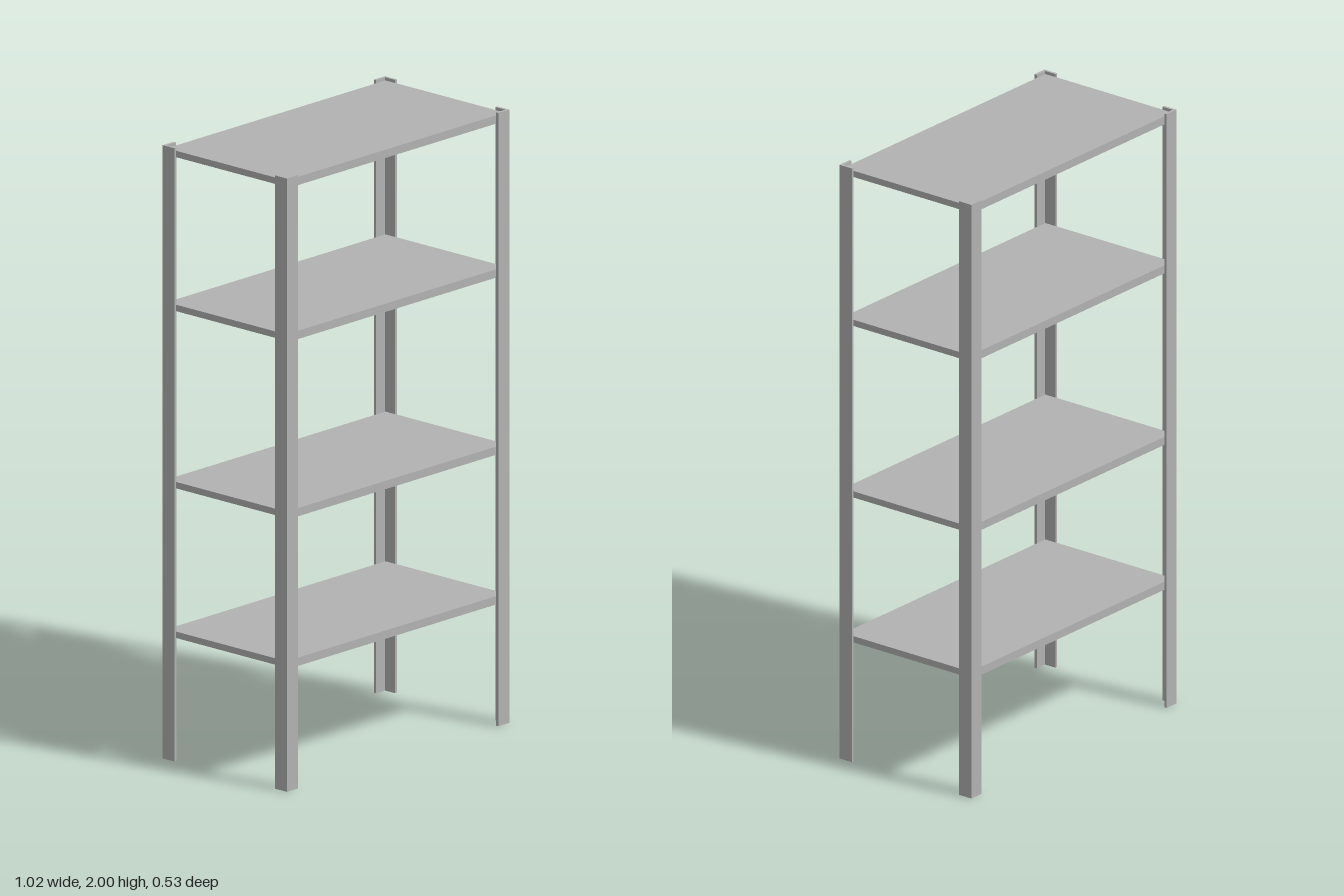
import * as THREE from 'three';

export function createModel() {
  const model = new THREE.Group();
  model.name = 'shelvingUnit';
  const steel = new THREE.MeshStandardMaterial({ color: 0xb2b2b2 });
  steel.name = 'grey steel';

  // Outer half width and depth of the posts, flange length, sheet thickness
  const W = 0.509, D = 0.265, L = 0.05, T = 0.009;

  // Angle-section corner posts; the L opens towards the middle
  const postGeometry = (sx, sz) => {
    const pts = [[0, 0], [L, 0], [L, T], [T, T], [T, L], [0, L]]
      .map(([a, b]) => new THREE.Vector2(sx * (W - a), -sz * (D - b)));
    const geo = new THREE.ExtrudeGeometry(new THREE.Shape(pts), { depth: 2, bevelEnabled: false });
    return geo.rotateX(-Math.PI / 2);
  };
  for (const [name, sx, sz] of [
    ['frontLeftPost', 1, 1], ['frontRightPost', -1, 1],
    ['backLeftPost', 1, -1], ['backRightPost', -1, -1],
  ]) {
    const post = new THREE.Mesh(postGeometry(sx, sz), steel);
    post.name = name;
    model.add(post);
  }

  const addBox = (group, name, w, h, d, x, y, z) => {
    const mesh = new THREE.Mesh(new THREE.BoxGeometry(w, h, d), steel);
    mesh.name = name;
    mesh.position.set(x, y, z);
    group.add(mesh);
  };

  // Sheet shelves with turned-down edges, open underneath
  const hw = 0.501, hd = 0.255, t = 0.004, deep = 0.027, shallow = 0.021;
  [0.422, 0.91, 1.488, 1.99].forEach((top, i) => {
    const shelf = new THREE.Group();
    shelf.name = `shelf${i + 1}`;
    shelf.position.y = top;
    addBox(shelf, 'panel', 2 * hw, t, 2 * hd, 0, -t / 2, 0);
    for (const s of [1, -1]) {
      addBox(shelf, s > 0 ? 'frontLip' : 'backLip',
        2 * hw, deep - t, t, 0, -(deep + t) / 2, s * (hd - t / 2));
      addBox(shelf, s > 0 ? 'leftLip' : 'rightLip',
        t, shallow - t, 2 * (hd - t), s * (hw - t / 2), -(shallow + t) / 2, 0);
    }
    model.add(shelf);
  });

  return model;
}
